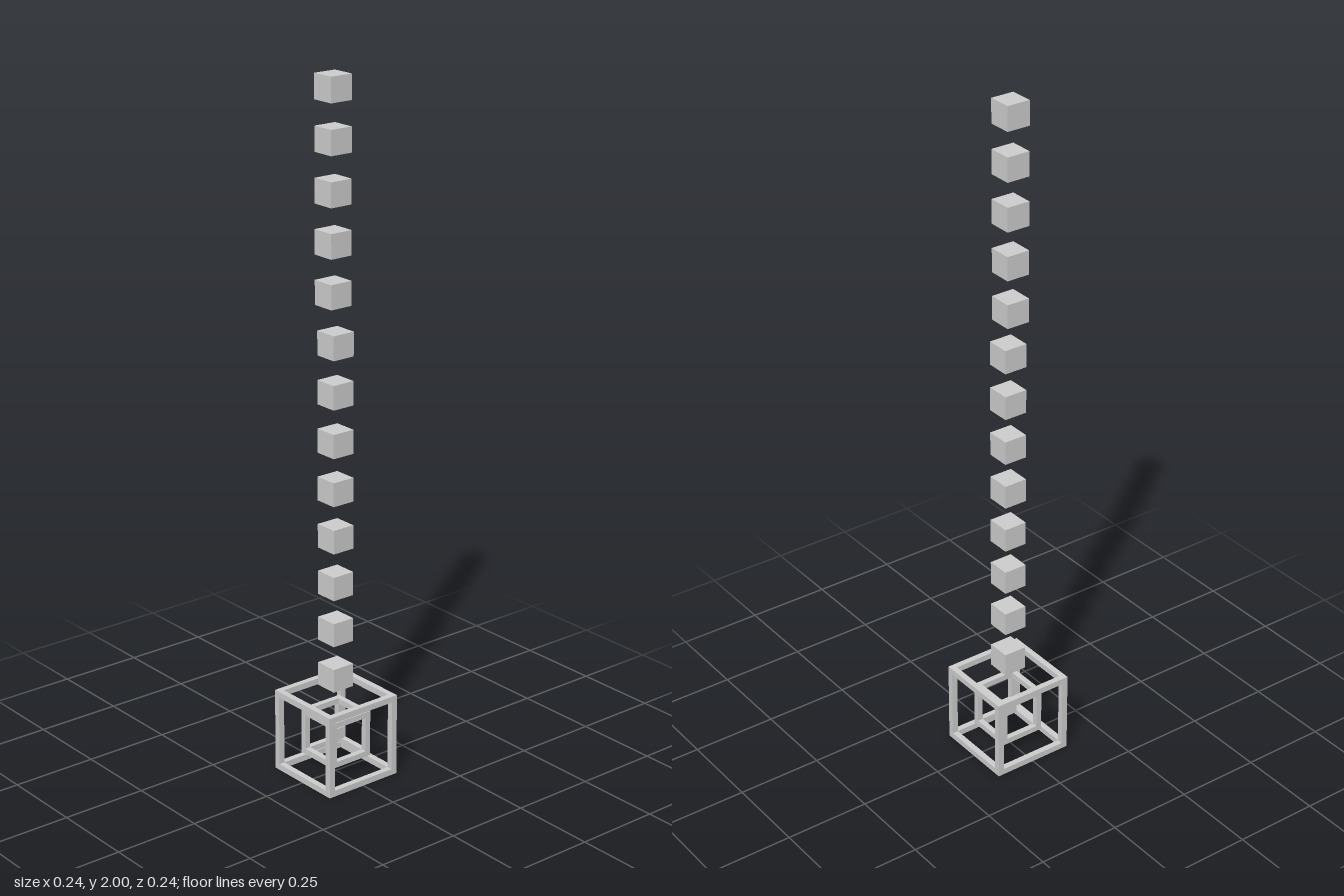
import * as THREE from 'three';

const material = new THREE.MeshStandardMaterial({ color: 0xcccccc, flatShading: true });

function addBox(parent, name, size, position) {
  const mesh = new THREE.Mesh(new THREE.BoxGeometry(...size), material);
  mesh.name = name;
  mesh.position.set(...position);
  parent.add(mesh);
}

// Open cube cage: four full-height posts joined by eight rails
function createCage(name, size, bar) {
  const cage = new THREE.Group();
  cage.name = name;
  const offset = (size - bar) / 2;
  const span = size - 2 * bar;
  for (const a of [-offset, offset]) {
    for (const b of [-offset, offset]) {
      addBox(cage, 'post', [bar, size, bar], [a, 0, b]);
      addBox(cage, 'crossRail', [span, bar, bar], [0, a, b]);
      addBox(cage, 'sideRail', [bar, bar, span], [a, b, 0]);
    }
  }
  return cage;
}

export function createModel() {
  const model = new THREE.Group();
  model.name = 'cubeColumn';

  // Nested cages around a small core
  const base = new THREE.Group();
  base.name = 'nestedCages';
  base.position.y = 0.122;
  base.add(createCage('outerCage', 0.244, 0.018));
  base.add(createCage('innerCage', 0.138, 0.017));
  addBox(base, 'core', [0.035, 0.035, 0.035], [0, 0, 0]);
  model.add(base);

  // Floating column of cubes; the top five sit slightly further back
  const column = new THREE.Group();
  column.name = 'floatingCubes';
  const count = 13, edge = 0.0695, first = 0.3, last = 2 - edge / 2;
  for (let i = 0; i < count; i++) {
    const y = first + (last - first) * i / (count - 1);
    addBox(column, 'floatingCube', [edge, edge, edge], [0, y, i < 8 ? -0.0015 : -0.0115]);
  }
  model.add(column);

  return model;
}
